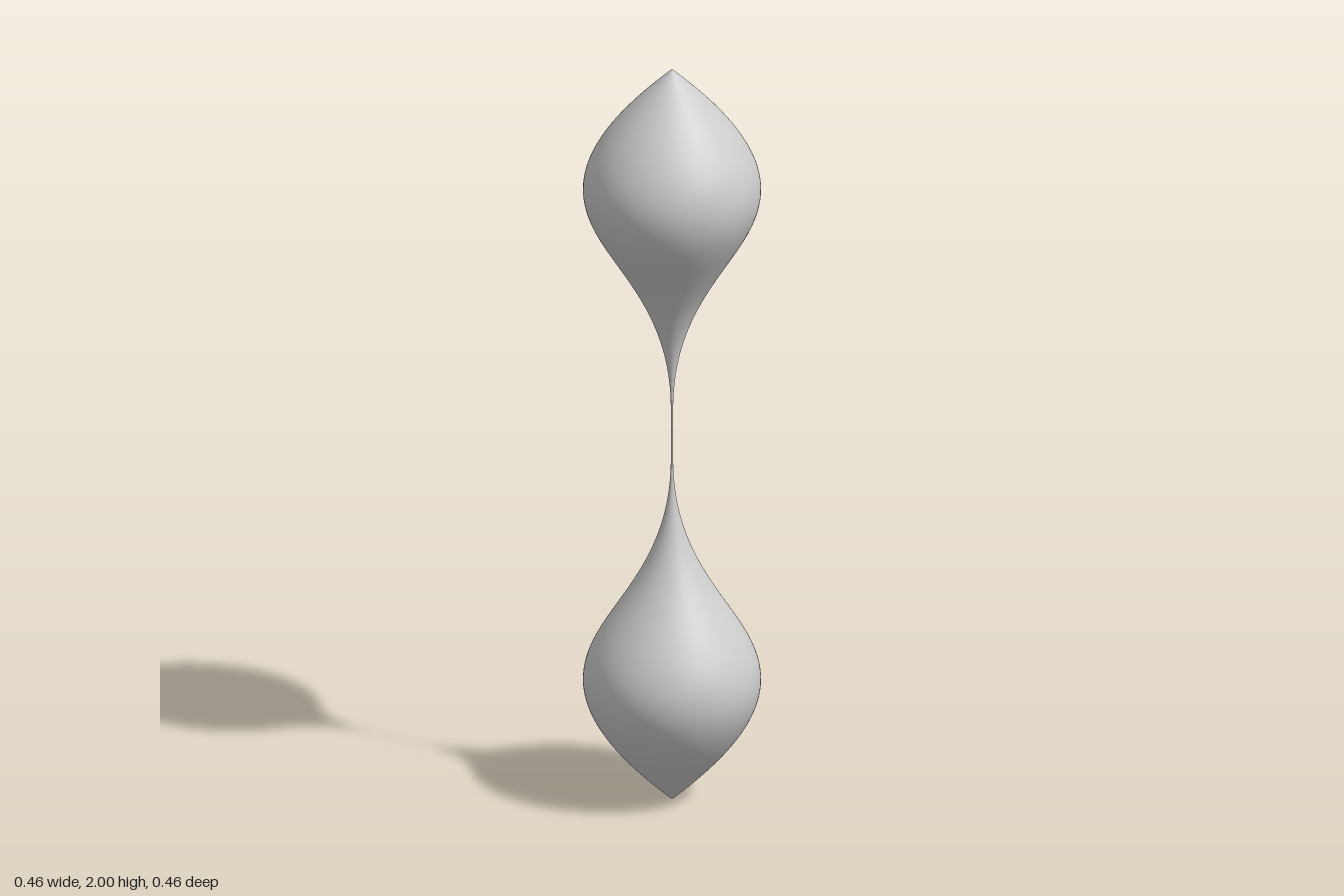
import * as THREE from 'three';

const NECK = 0.003; // radius of the thin thread and of the tiny flat tips

export function createModel() {
  const group = new THREE.Group();
  const material = new THREE.MeshStandardMaterial({ color: 0xcccccc });

  // Teardrop outline, as (radius, distance from the middle), thread end to tip
  const curve = new THREE.CubicBezierCurve(
    new THREE.Vector2(NECK, 0.07),
    new THREE.Vector2(NECK, 0.56),
    new THREE.Vector2(0.512, 0.56),
    new THREE.Vector2(NECK, 1)
  );
  const outline = curve.getPoints(64);

  // One drop above the middle and its mirror below
  const addDrop = (name, sign) => {
    const points = outline.map(p => new THREE.Vector2(p.x, 1 + sign * p.y));
    if (sign < 0) points.reverse();
    const drop = new THREE.Mesh(new THREE.LatheGeometry(points, 96), material);
    drop.name = name;
    group.add(drop);

    // Small flat cap closing the tip
    const cap = new THREE.Mesh(new THREE.CircleGeometry(NECK, 32), material);
    cap.name = name + 'Tip';
    cap.rotation.x = -sign * Math.PI / 2;
    cap.position.y = 1 + sign;
    group.add(cap);
  };
  addDrop('upperDrop', 1);
  addDrop('lowerDrop', -1);

  // Thin thread joining the drops
  const thread = new THREE.Mesh(new THREE.CylinderGeometry(NECK, NECK, 0.14, 32, 1, true), material);
  thread.name = 'thread';
  thread.position.y = 1;
  group.add(thread);

  return group;
}
